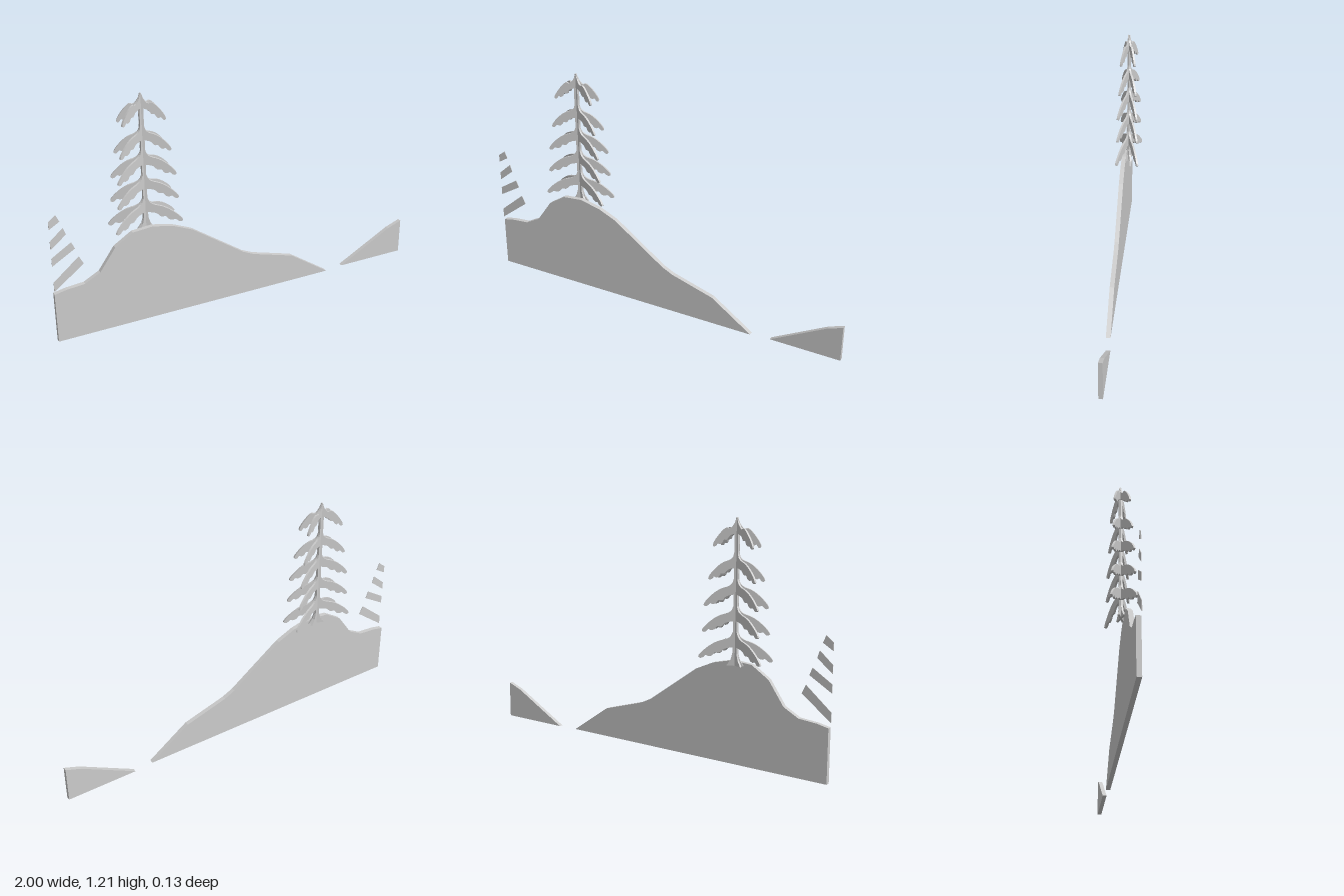
import * as THREE from 'three';

const material = new THREE.MeshStandardMaterial({ color: 0xcccccc, flatShading: true, side: THREE.DoubleSide });

const toVectors = (points) => points.map(([x, y]) => new THREE.Vector2(x, y));

// Flat board cut from an outline, its back face at z = back
function board(name, outline, back, depth) {
  const geometry = new THREE.ExtrudeGeometry(new THREE.Shape(outline), { depth, bevelEnabled: false });
  geometry.translate(0, 0, back);
  const mesh = new THREE.Mesh(geometry, material);
  mesh.name = name;
  return mesh;
}

// One drooping bough: u runs from trunk to tip, v from tip to top
const BOUGH_TOP = [[0.07, 1], [0.13, 0.84], [0.25, 0.73], [0.45, 0.65], [0.65, 0.51], [0.85, 0.3], [0.97, 0.13], [1, 0.04]];
const BOUGH_UNDER = [[1, 0.04], [0.95, 0], [0.88, 0.02], [0.8, 0.11], [0.72, 0.08], [0.62, 0.12],
  [0.54, 0.24], [0.42, 0.24], [0.31, 0.37], [0.2, 0.42], [0.07, 0.45]];

// Tiers of boughs: reach, bottom, top
const TIERS = [
  [0.116, 1.07, 1.21],
  [0.137, 0.912, 1.045],
  [0.158, 0.783, 0.92],
  [0.166, 0.657, 0.79],
  [0.183, 0.528, 0.665],
];
const TRUNK = 0.012;

function treeOutline() {
  const half = [];
  TIERS.forEach(([reach, low, high], i) => {
    const place = ([u, v]) => new THREE.Vector2(Math.max(u * reach, TRUNK), low + v * (high - low));
    const top = BOUGH_TOP.map(place);
    // The highest tier closes in a point
    if (i === 0) top.splice(0, 3, new THREE.Vector2(0.002, high), new THREE.Vector2(0.014, high - 0.03), new THREE.Vector2(0.034, high - 0.053));
    half.push(...new THREE.SplineCurve(top).getPoints(16));
    half.push(...new THREE.SplineCurve(BOUGH_UNDER.map(place)).getPoints(28).slice(1));
  });
  // Flared foot of the trunk
  half.push(...toVectors([[0.014, 0.56], [0.022, 0.53], [0.042, 0.5]]));
  const mirrored = half.map((p) => new THREE.Vector2(-p.x, p.y)).reverse();
  return half.concat(mirrored);
}

export function createModel() {
  const model = new THREE.Group();
  model.name = 'treeOnHill';

  // Ground boards
  const hill = toVectors([[-1, 0], [0.52, 0], [0.3, 0.153], [0.07, 0.222], [0.01, 0.251], [-0.273, 0.452],
    [-0.37, 0.495], [-0.481, 0.521], [-0.588, 0.512], [-0.682, 0.452], [-0.765, 0.334],
    [-0.845, 0.291], [-0.94, 0.283], [-1, 0.271]]);
  model.add(board('hill', hill, 0.012, 0.023));
  const slope = toVectors([[0.625, 0], [1, 0], [1, 0.193], [0.92, 0.163]]);
  model.add(board('smallSlope', slope, 0.003, 0.021));

  // Tree made of two crossed panels
  const tree = new THREE.Group();
  tree.name = 'tree';
  tree.position.set(-0.505, 0, -0.002);
  const outline = treeOutline();
  for (const side of [-1, 1]) {
    const panel = board('treePanel', outline, -0.005, 0.01);
    panel.rotation.y = side * 0.325;
    tree.add(panel);
  }
  model.add(tree);

  // Thin slanted slats at the edge: lower edge and upper edge at x = -1, lower tip, upper tip
  const slats = new THREE.Group();
  slats.name = 'slats';
  const SLATS = [
    [0.29, 0.34, -0.845, 0.408, -0.866, 0.452],
    [0.43, 0.473, -0.882, 0.5, -0.898, 0.537],
    [0.521, 0.564, -0.92, 0.586, -0.932, 0.623],
    [0.628, 0.668, -0.946, 0.66, -0.962, 0.697],
  ];
  for (const [low, high, x1, y1, x2, y2] of SLATS) {
    const corners = toVectors([[-1, low], [x1, y1], [x2, y2], [-1, high]]);
    slats.add(board('slat', corners, 0.036, 0.003));
  }
  model.add(slats);

  return model;
}
